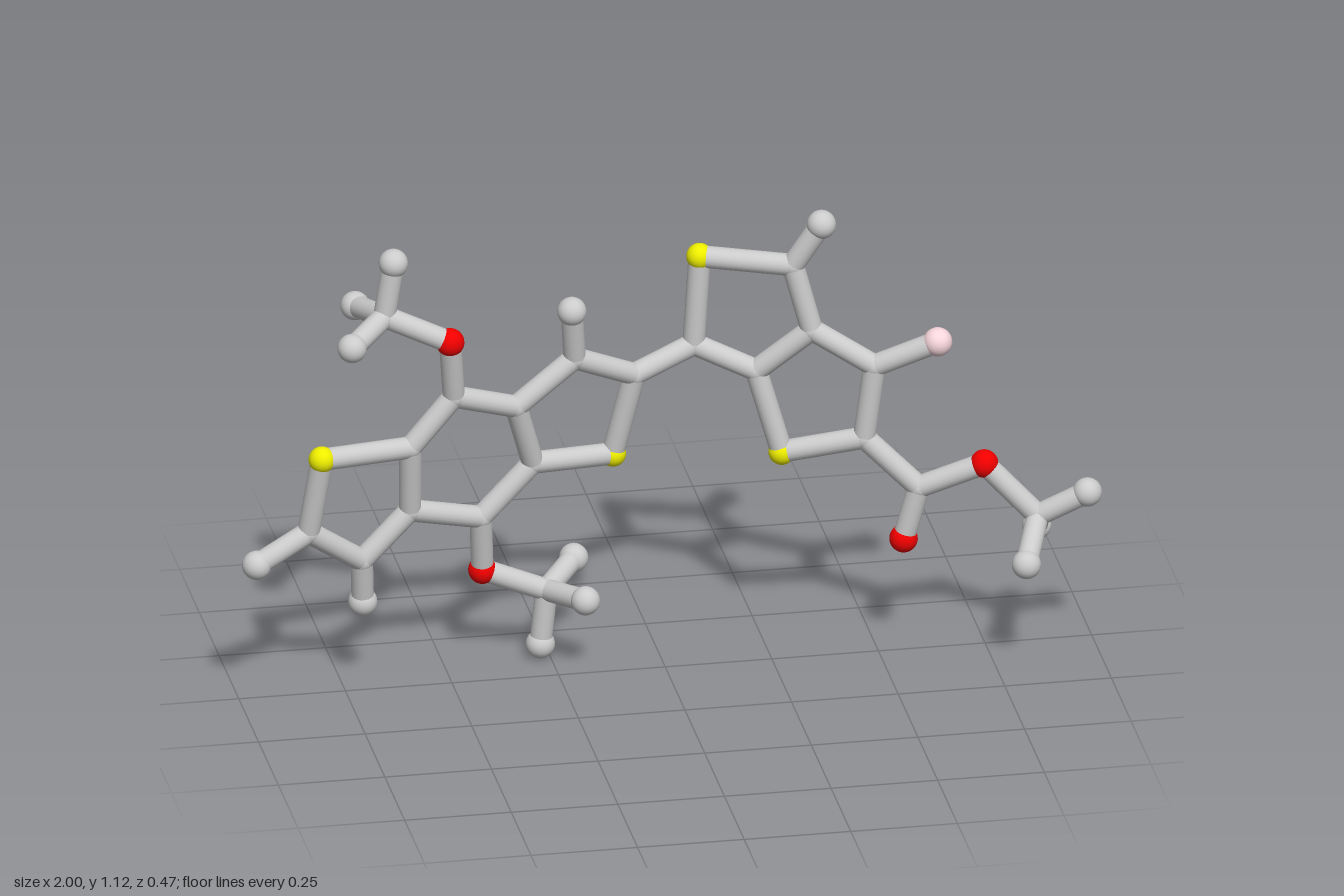
import * as THREE from 'three';

const BOND_RADIUS = 0.026;
const grey = new THREE.MeshStandardMaterial({ color: 0xcccccc });
const yellow = new THREE.MeshStandardMaterial({ color: 0xeeee00 });
const red = new THREE.MeshStandardMaterial({ color: 0xf00000 });
const pink = new THREE.MeshStandardMaterial({ color: 0xf6d6dc });

// Kind of atom: part name, ball radius, material
const KINDS = {
  C: ['carbonJoint', BOND_RADIUS + 0.001, grey],
  H: ['endBall', 0.034, grey],
  S: ['sulfurBall', 0.031, yellow],
  O: ['oxygenBall', 0.033, red],
  F: ['fluorineBall', 0.034, pink],
};

// The two flat ring systems lie in tilted planes: z from x and y
const leftPlane = (x, y) => -0.251 - 0.2475 * x + 0.204 * y;
const rightPlane = (x, y) => -0.166 + 0.3 * x + 0.032 * y;

// Atoms of the left three-ring system: kind, x, y
const LEFT = {
  S1: ['S', -0.82, 0.626], C1: ['C', -0.845, 0.43], C2: ['C', -0.71, 0.325],
  C3: ['C', -0.596, 0.44], C4: ['C', -0.602, 0.615], C5: ['C', -0.5, 0.735],
  C6: ['C', -0.345, 0.675], C7: ['C', -0.297, 0.51], C8: ['C', -0.42, 0.385],
  C9: ['C', -0.205, 0.78], C10: ['C', -0.055, 0.705], S2: ['S', -0.1, 0.495],
  H1: ['H', -0.97, 0.365], H2: ['H', -0.703, 0.21], H9: ['H', -0.217, 0.912],
  O1: ['O', -0.515, 0.888], O2: ['O', -0.41, 0.237],
};

// Atoms of the right two-ring system and its ester: kind, x, y
const RIGHT = {
  C11: ['C', 0.088, 0.76], S4: ['S', 0.1, 0.985], C12: ['C', 0.307, 0.973],
  C13: ['C', 0.35, 0.81], C14: ['C', 0.227, 0.7], S3: ['S', 0.285, 0.495],
  C15: ['C', 0.468, 0.54], C16: ['C', 0.49, 0.725], F1: ['F', 0.63, 0.793],
  H12: ['H', 0.37, 1.08], C17: ['C', 0.59, 0.42], O4: ['O', 0.557, 0.287],
  O3: ['O', 0.735, 0.487],
};

// Methyl groups standing out of the planes: kind, x, y, z
const METHYLS = {
  M1: ['C', -0.665, 0.955, 0.035], M1a: ['H', -0.645, 1.09, 0.04],
  M1b: ['H', -0.757, 0.92, 0.122], M1c: ['H', -0.71, 0.93, -0.095],
  M2: ['C', -0.26, 0.175, -0.1], M2a: ['H', -0.273, 0.037, -0.107],
  M2b: ['H', -0.19, 0.192, 0.016], M2c: ['H', -0.178, 0.207, -0.198],
  M3: ['C', 0.855, 0.36, 0.1], M3a: ['H', 0.965, 0.425, 0.135],
  M3b: ['H', 0.81, 0.283, 0.2], M3c: ['H', 0.872, 0.29, -0.003],
};

// Chains of bonded atoms
const CHAINS = [
  'S1 C1 C2 C3 C4 S1', 'C4 C5 C6 C7 C8 C3', 'C6 C9 C10 S2 C7',
  'C1 H1', 'C2 H2', 'C9 H9', 'C10 C11',
  'C11 S4 C12 C13 C14 C11', 'C14 S3 C15 C16 C13',
  'C12 H12', 'C16 F1', 'C15 C17 O4',
  'C5 O1 M1 M1a', 'M1b M1 M1c',
  'C8 O2 M2 M2a', 'M2b M2 M2c',
  'C17 O3 M3 M3a', 'M3b M3 M3c',
];

export function createModel() {
  const model = new THREE.Group();
  model.name = 'molecule';
  const atoms = new THREE.Group();
  atoms.name = 'atoms';
  const bonds = new THREE.Group();
  bonds.name = 'bonds';
  model.add(atoms, bonds);

  // Balls
  const positions = {};
  const addAtoms = (table, plane) => {
    for (const [id, [kind, x, y, z]] of Object.entries(table)) {
      const [name, radius, material] = KINDS[kind];
      const ball = new THREE.Mesh(new THREE.SphereGeometry(radius, 24, 16), material);
      ball.name = name;
      ball.position.set(x, y, plane ? plane(x, y) : z);
      positions[id] = ball.position;
      atoms.add(ball);
    }
  };
  addAtoms(LEFT, leftPlane);
  addAtoms(RIGHT, rightPlane);
  addAtoms(METHYLS);

  // Rods between neighbours in each chain
  const up = new THREE.Vector3(0, 1, 0);
  for (const chain of CHAINS) {
    const ids = chain.split(' ');
    for (let i = 1; i < ids.length; i++) {
      const a = positions[ids[i - 1]], b = positions[ids[i]];
      const dir = b.clone().sub(a);
      const rod = new THREE.Mesh(
        new THREE.CylinderGeometry(BOND_RADIUS, BOND_RADIUS, dir.length(), 20, 1, true), grey);
      rod.name = 'bond';
      rod.position.copy(a).add(b).multiplyScalar(0.5);
      rod.quaternion.setFromUnitVectors(up, dir.normalize());
      bonds.add(rod);
    }
  }
  return model;
}
